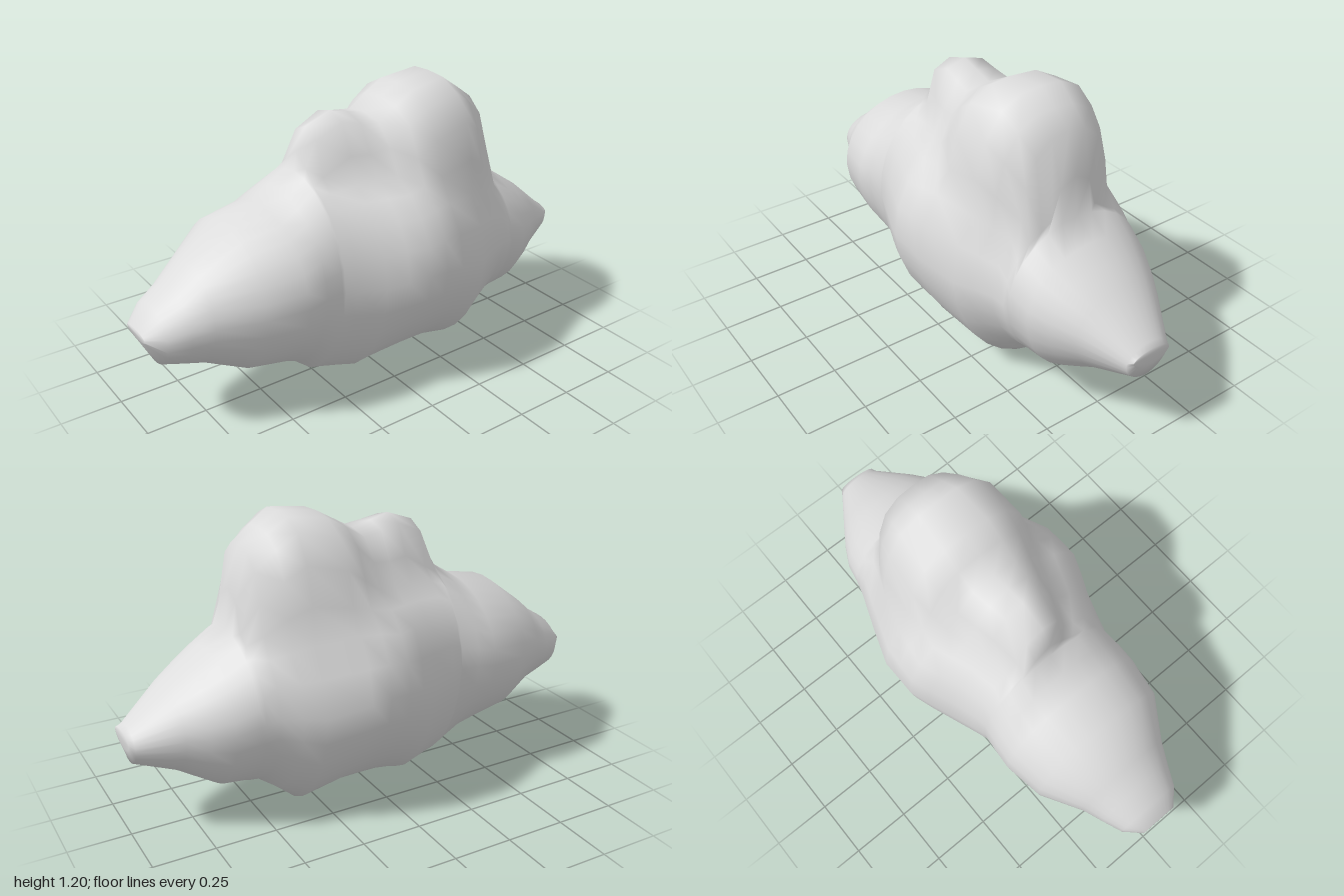
import * as THREE from 'three';

const SIDES = 28;

// Cross-sections along x: [x, bottom, body top, half depth, tower top, tower half depth]
// (sections without a tower stop after the half depth)
const SECTIONS = [
  [-1.0, 0.43, 0.47, 0.08],
  [-0.94, 0.31, 0.55, 0.14],
  [-0.86, 0.285, 0.6, 0.175],
  [-0.78, 0.26, 0.67, 0.21],
  [-0.62, 0.18, 0.79, 0.31],
  [-0.46, 0.15, 0.82, 0.335],
  [-0.38, 0.115, 0.87, 0.33],
  [-0.305, 0.05, 0.92, 0.32],
  [-0.295, 0.045, 0.92, 0.325, 1.0, 0.1],
  [-0.25, 0.035, 0.92, 0.34, 1.09, 0.13],
  [-0.14, 0.005, 0.93, 0.38, 1.13, 0.17],
  [-0.06, 0.03, 0.94, 0.415, 1.11, 0.19],
  [0.02, 0.05, 0.95, 0.445, 1.09, 0.23],
  [0.1, 0.05, 0.95, 0.445, 1.135, 0.28],
  [0.18, 0.05, 0.93, 0.445, 1.18, 0.31],
  [0.34, 0.0, 0.89, 0.39, 1.2, 0.305],
  [0.42, 0.07, 0.85, 0.36, 1.145, 0.27],
  [0.5, 0.13, 0.81, 0.33, 1.09, 0.21],
  [0.55, 0.135, 0.78, 0.315, 0.93, 0.11],
  [0.57, 0.14, 0.77, 0.31],
  [0.66, 0.15, 0.71, 0.29],
  [0.74, 0.2, 0.655, 0.25],
  [0.82, 0.25, 0.6, 0.2],
  [0.98, 0.315, 0.465, 0.1],
  [1.0, 0.38, 0.45, 0.085],
];

const norm = (a, b, p) => Math.pow(Math.abs(a) ** p + Math.abs(b) ** p, 1 / p);

// One closed ring: a rounded body with a narrower, squarer tower rising out of it
function ring([x, bottom, bodyTop, depth, top = bodyTop, towerDepth = 0]) {
  const centre = bottom + (bodyTop - bottom) * 0.56;
  const points = [];
  for (let j = 0; j < SIDES; j++) {
    const a = (j / SIDES) * Math.PI * 2;
    const s = Math.sin(a);
    const c = Math.cos(a);
    const height = s > 0 ? top - centre : centre - bottom;
    let reach = 1 / norm(c, s, 1.8);
    if (s > 0) {
      reach = 1 / norm(c, (s * height) / (bodyTop - centre), 2);
      if (towerDepth) reach = Math.max(reach, 1 / norm((c * depth) / towerDepth, s, 3));
    }
    points.push(x, centre + s * height * reach, c * depth * reach);
  }
  return points;
}

function cloudGeometry() {
  const positions = SECTIONS.flatMap(ring);
  const index = [];
  // Skin between neighbouring rings
  for (let i = 0; i < SECTIONS.length - 1; i++) {
    for (let j = 0; j < SIDES; j++) {
      const k = (j + 1) % SIDES;
      const a = i * SIDES + j, b = a + SIDES;
      const d = i * SIDES + k, e = d + SIDES;
      index.push(a, b, d, b, e, d);
    }
  }
  // Close both tips
  const last = (SECTIONS.length - 1) * SIDES;
  for (let j = 1; j < SIDES - 1; j++) {
    index.push(0, j, j + 1);
    index.push(last, last + j + 1, last + j);
  }
  const geometry = new THREE.BufferGeometry();
  geometry.setAttribute('position', new THREE.Float32BufferAttribute(positions, 3));
  geometry.setIndex(index);
  geometry.computeVertexNormals();
  return geometry;
}

export function createModel() {
  const group = new THREE.Group();
  group.name = 'cloud';
  const material = new THREE.MeshStandardMaterial({ color: 0xdcdcdc });
  material.name = 'cloud grey';
  const body = new THREE.Mesh(cloudGeometry(), material);
  body.name = 'cloudBody';
  group.add(body);
  return group;
}
